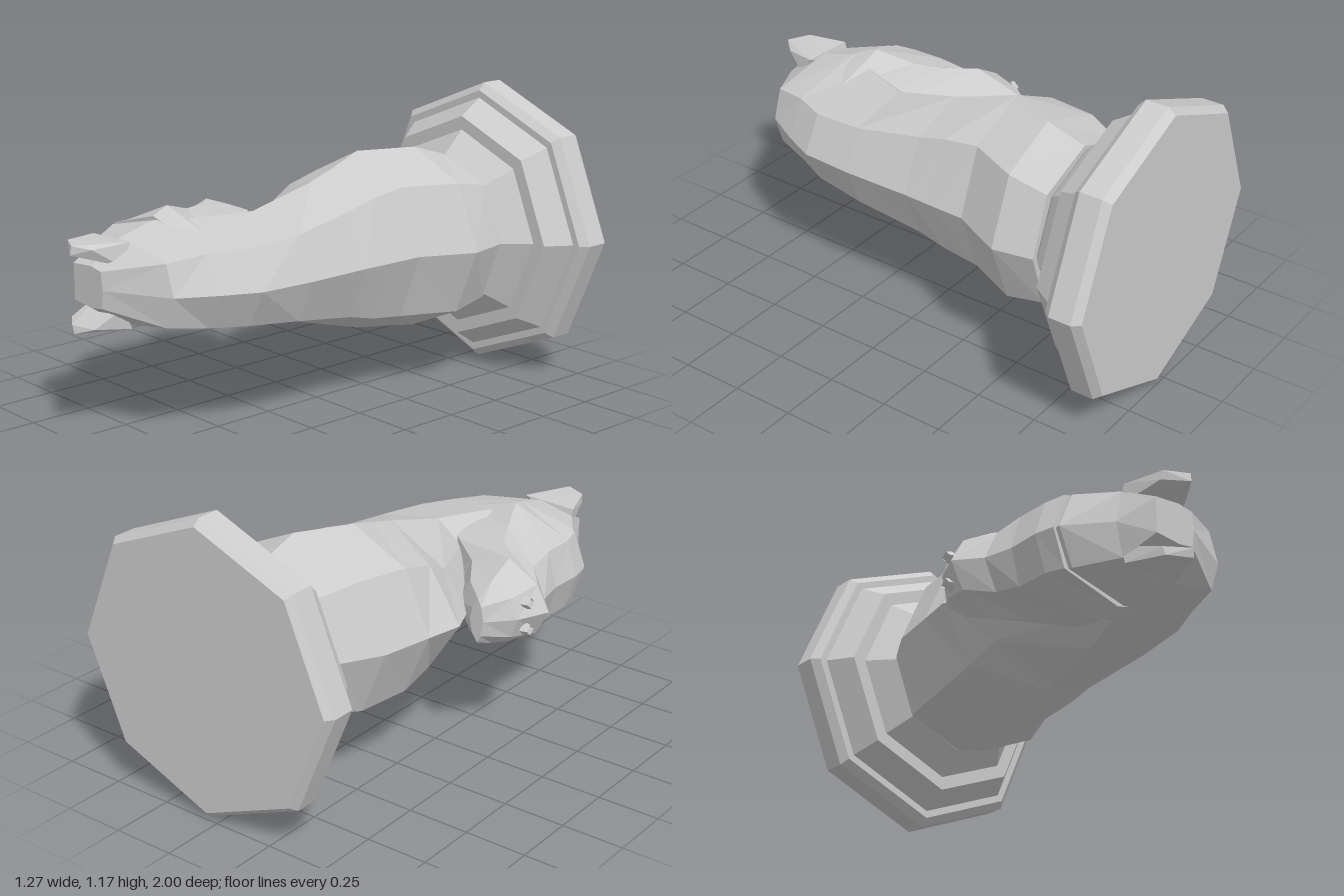
import * as THREE from 'three';
import { ConvexGeometry } from 'three/addons/geometries/ConvexGeometry.js';

const CY = 0.588; // height of the symmetry plane

// Eight-sided loft along z. Each section: z, five x (front to back), three half widths.
function loft(sections) {
  const pos = [], idx = [], n = 8;
  for (const [z, f, fm, m, bm, b, wf, wm, wb] of sections) {
    const ring = [[f, 0], [fm, wf], [m, wm], [bm, wb], [b, 0], [bm, -wb], [m, -wm], [fm, -wf]];
    for (const [x, w] of ring) pos.push(x, CY + w, z);
  }
  for (let s = 0; s < sections.length - 1; s++) {
    for (let i = 0; i < n; i++) {
      const a = s * n + i, b = s * n + (i + 1) % n;
      if (i < 4) idx.push(a, a + n, b + n, a, b + n, b);
      else idx.push(a, a + n, b, b, a + n, b + n); // mirrored diagonal
    }
  }
  const top = (sections.length - 1) * n;
  for (let i = 1; i < n - 1; i++) {
    idx.push(0, i, i + 1);
    idx.push(top, top + i + 1, top + i);
  }
  const g = new THREE.BufferGeometry();
  g.setAttribute('position', new THREE.Float32BufferAttribute(pos, 3));
  g.setIndex(idx);
  g.computeVertexNormals();
  return g;
}

export function createModel() {
  const group = new THREE.Group();
  const mat = new THREE.MeshStandardMaterial({ color: 0xcccccc, flatShading: true });
  const dark = new THREE.MeshStandardMaterial({ color: 0xcccccc, flatShading: true, side: THREE.DoubleSide });
  const add = (name, geo, material = mat) => {
    const mesh = new THREE.Mesh(geo, material);
    mesh.name = name;
    group.add(mesh);
    return mesh;
  };

  // Stepped octagonal pedestal, lying with its foot at the back
  const profile = [
    [0, -1], [0.56, -1], [0.585, -0.97], [0.585, -0.88], [0.555, -0.85], [0.525, -0.85],
    [0.46, -0.75], [0.405, -0.75], [0.315, -0.655], [0.295, -0.64], [0, -0.64],
  ].map(([r, y]) => new THREE.Vector2(r, y));
  const base = add('pedestal', new THREE.LatheGeometry(profile, 8).rotateX(Math.PI / 2));
  base.position.set(0.05, CY, 0);

  // Shoulders, neck and crest
  add('neck', loft([
    [-0.64, -0.28, -0.19, 0.05, 0.29, 0.37, 0.23, 0.32, 0.23],
    [-0.48, -0.37, -0.26, 0.05, 0.295, 0.40, 0.26, 0.37, 0.26],
    [-0.27, -0.41, -0.30, -0.06, 0.195, 0.295, 0.25, 0.365, 0.26],
    [-0.12, -0.44, -0.30, -0.04, 0.195, 0.29, 0.21, 0.32, 0.24],
    [0.00, -0.39, -0.28, -0.03, 0.195, 0.285, 0.15, 0.285, 0.21],
    [0.28, -0.20, -0.16, -0.05, 0.215, 0.285, 0.12, 0.21, 0.165],
    [0.50, -0.50, -0.44, -0.14, 0.19, 0.27, 0.12, 0.20, 0.145],
    [0.64, -0.51, -0.45, -0.20, 0.125, 0.205, 0.145, 0.205, 0.14],
    [0.79, -0.38, -0.35, -0.20, 0.08, 0.12, 0.13, 0.165, 0.12],
    [0.92, -0.31, -0.31, -0.20, -0.14, -0.13, 0.07, 0.08, 0.07],
  ]));

  // Forehead, cheeks, muzzle and chin
  add('head', loft([
    [-0.04, -0.49, -0.48, -0.465, -0.44, -0.43, 0.06, 0.09, 0.05],
    [0.06, -0.58, -0.55, -0.46, -0.36, -0.30, 0.08, 0.13, 0.10],
    [0.185, -0.635, -0.58, -0.45, -0.28, -0.22, 0.10, 0.175, 0.12],
    [0.28, -0.555, -0.50, -0.36, -0.15, -0.10, 0.12, 0.185, 0.15],
    [0.40, -0.53, -0.49, -0.30, -0.02, 0.04, 0.14, 0.195, 0.16],
    [0.54, -0.535, -0.49, -0.24, 0.00, 0.06, 0.14, 0.24, 0.17],
    [0.62, -0.52, -0.47, -0.22, -0.02, 0.05, 0.145, 0.215, 0.16],
  ]));

  // Ears and nostrils, mirrored
  const earPoints = [
    [-0.35, 0.08, 0.78], [-0.35, 0.155, 0.80], [-0.12, 0.165, 0.80], [-0.12, 0.08, 0.84],
    [-0.305, 0.13, 0.94], [-0.30, 0.165, 0.95], [-0.215, 0.13, 1.0], [-0.21, 0.165, 0.995], [-0.16, 0.15, 0.94],
  ];
  for (const side of [1, -1]) {
    const label = side > 0 ? 'upper' : 'lower';
    add(label + 'Ear', new ConvexGeometry(earPoints.map(([x, w, z]) => new THREE.Vector3(x, CY + side * w, z))));
    const nostril = add(label + 'Nostril', new THREE.CylinderGeometry(0.022, 0.03, 0.03, 4, 1, true), dark);
    nostril.rotation.z = Math.PI / 2;
    nostril.position.set(-0.588, CY + side * 0.055, 0.11);
  }
  return group;
}
